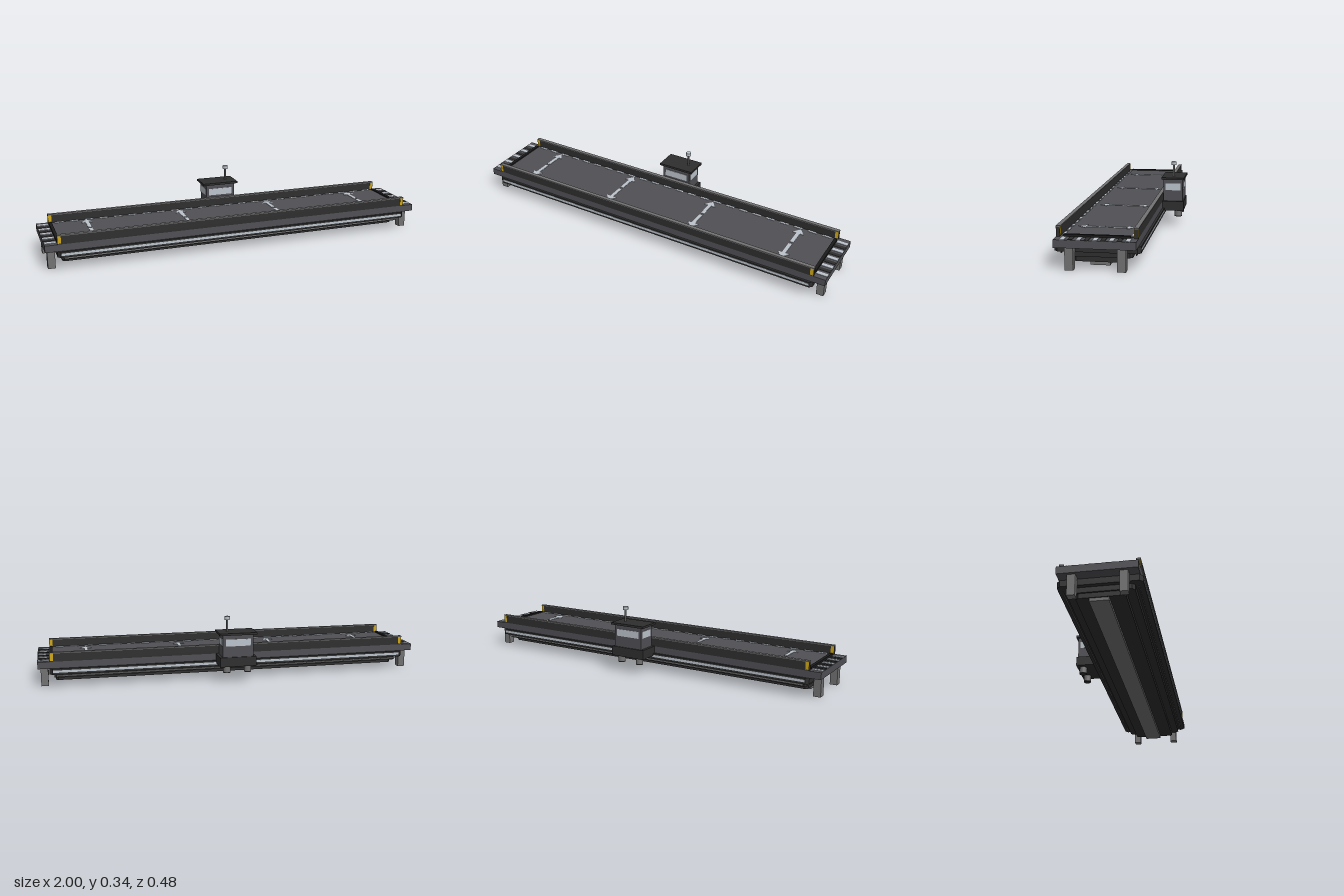
import * as THREE from 'three';

const paint = (name, color) => {
  const m = new THREE.MeshStandardMaterial({ color });
  m.name = name;
  return m;
};

export function createModel() {
  const root = new THREE.Group();
  root.name = 'ferryPontoon';
  const grey = paint('deckGrey', 0x505055);
  const dark = paint('darkSteel', 0x2e2e2e);
  const black = paint('blackRubber', 0x1b1b1b);
  const steel = paint('midSteel', 0x727272);
  const light = paint('paleMarking', 0xbcc4cc);
  const yellow = paint('safetyYellow', 0xd0a818);
  const C = 0.05; // centre line of the hull in z

  const add = (name, geo, mat, x = 0, y = 0, z = 0) => {
    const mesh = new THREE.Mesh(geo, mat);
    mesh.name = name;
    mesh.position.set(x, y, z);
    root.add(mesh);
    return mesh;
  };
  // box given by its limits
  const box = (name, mat, x0, x1, y0, y1, z0, z1) =>
    add(name, new THREE.BoxGeometry(x1 - x0, y1 - y0, z1 - z0), mat,
      (x0 + x1) / 2, (y0 + y1) / 2, (z0 + z1) / 2);
  const cyl = (name, mat, r, y0, y1, x, z) =>
    add(name, new THREE.CylinderGeometry(r, r, y1 - y0, 20), mat, x, (y0 + y1) / 2, z);
  // flat plan shape raised to a thickness
  const slab = (name, mat, pts, y, h, x = 0, z = C) => {
    const shape = new THREE.Shape(pts.map(([a, b]) => new THREE.Vector2(a, b)));
    const geo = new THREE.ExtrudeGeometry(shape, { depth: h, bevelEnabled: false });
    geo.rotateX(-Math.PI / 2);
    return add(name, geo, mat, x, y, z);
  };
  const chamfered = (a, b, c) => [
    [a - c, -b], [a, -b + c], [a, b - c], [a - c, b],
    [-a + c, b], [-a, b - c], [-a, -b + c], [-a + c, -b],
  ];

  // stepped hull
  slab('fender', dark, chamfered(0.942, 0.188, 0.015), 0.07, 0.03);
  slab('upperHull', dark, chamfered(0.92, 0.15, 0.012), 0.045, 0.025);
  slab('lowerHull', dark, chamfered(0.912, 0.11, 0.012), 0.022, 0.023);
  box('keel', steel, -0.907, 0.907, 0.007, 0.022, C - 0.037 - 0.014, C + 0.037);

  // deck and its walking surface
  box('deck', grey, -1, 1, 0.1, 0.135, C - 0.177, C + 0.177);
  box('deckSurface', grey, -0.925, 0.925, 0.135, 0.139, C - 0.154, C + 0.154);

  for (const s of [-1, 1]) {
    // side strips, bulwark and cap
    const z = (d) => C + s * d;
    const along = (name, mat, half, y0, y1, d0, d1) =>
      box(name, mat, -half, half, y0, y1, Math.min(z(d0), z(d1)), Math.max(z(d0), z(d1)));
    along('fenderStripe', light, 0.925, 0.08, 0.092, 0.186, 0.189);
    along('rubbingStrip', steel, 0.91, 0.054, 0.062, 0.163, 0.167);
    along('bulwark', dark, 0.94, 0.135, 0.177, 0.161, 0.177);
    along('bulwarkCap', steel, 0.94, 0.177, 0.182, 0.159, 0.179);

    // dashed edge line
    for (let i = 0; i < 24; i++) {
      const x = (i - 11.5) * 0.077;
      box('edgeDash', light, x - 0.023, x + 0.023, 0.138, 0.141, z(0.149) - 0.006, z(0.149) + 0.006);
    }

    // lane arrows pointing outwards
    for (const x of [-0.75, -0.25, 0.25, 0.75]) {
      const arrow = [[0.009, 0.008], [0.009, 0.092], [0.03, 0.092], [0, 0.132],
        [-0.03, 0.092], [-0.009, 0.092], [-0.009, 0.008]];
      const mesh = slab('laneArrow', light, arrow, 0.138, 0.003, x, 0.042);
      mesh.rotation.y = s > 0 ? Math.PI : 0;
    }

    // end details, mirrored at both ends
    for (const e of [-1, 1]) {
      const end = (name, mat, x0, x1, y0, y1, z0, z1) =>
        box(name, mat, Math.min(e * x0, e * x1), Math.max(e * x0, e * x1), y0, y1, z0, z1);
      end('leg', steel, 0.949, 0.986, 0, 0.1, z(0.113) - 0.0185, z(0.113) + 0.0185);
      end('warningBand', yellow, 0.922, 0.9385, 0.14, 0.177, z(0.169) - 0.0095, z(0.169) + 0.0095);
    }
  }

  // ramp stripes and threshold bars at both ends
  for (const e of [-1, 1]) {
    box('thresholdBar', black, e * 0.932 - 0.008, e * 0.932 + 0.008, 0.135, 0.146, C - 0.144, C + 0.144);
    for (let i = -4; i <= 4; i++) {
      const z = C + i * 0.035;
      box('rampStripe', i % 2 ? dark : light, e * 0.97 - 0.028, e * 0.97 + 0.028,
        0.134, 0.137, z - 0.01, z + 0.01);
    }
  }

  // control cabin on its side platform
  box('cabinPlatform', dark, -0.095, 0.095, 0.087, 0.136, -0.237, -0.122);
  box('cabin', grey, -0.08, 0.08, 0.136, 0.25, -0.231, -0.13);
  box('cabinRoof', dark, -0.097, 0.097, 0.25, 0.261, -0.24, -0.121);
  for (const s of [-1, 1]) {
    const zw = s > 0 ? -0.13 : -0.231;
    box('longWindow', light, -0.065, 0.065, 0.193, 0.229, zw - 0.002, zw + 0.002);
    box('endWindow', light, s * 0.08 - 0.002, s * 0.08 + 0.002, 0.193, 0.229, -0.219, -0.142);
    // thruster pods under the platform
    cyl('thrusterPod', steel, 0.019, 0.057, 0.087, s * 0.055, -0.207);
    cyl('thrusterRing', dark, 0.019, 0.052, 0.057, s * 0.055, -0.207);
  }

  // mast and beacon
  cyl('mast', steel, 0.005, 0.261, 0.323, 0.047, -0.181);
  cyl('beacon', light, 0.014, 0.323, 0.34, 0.047, -0.181);

  return root;
}
